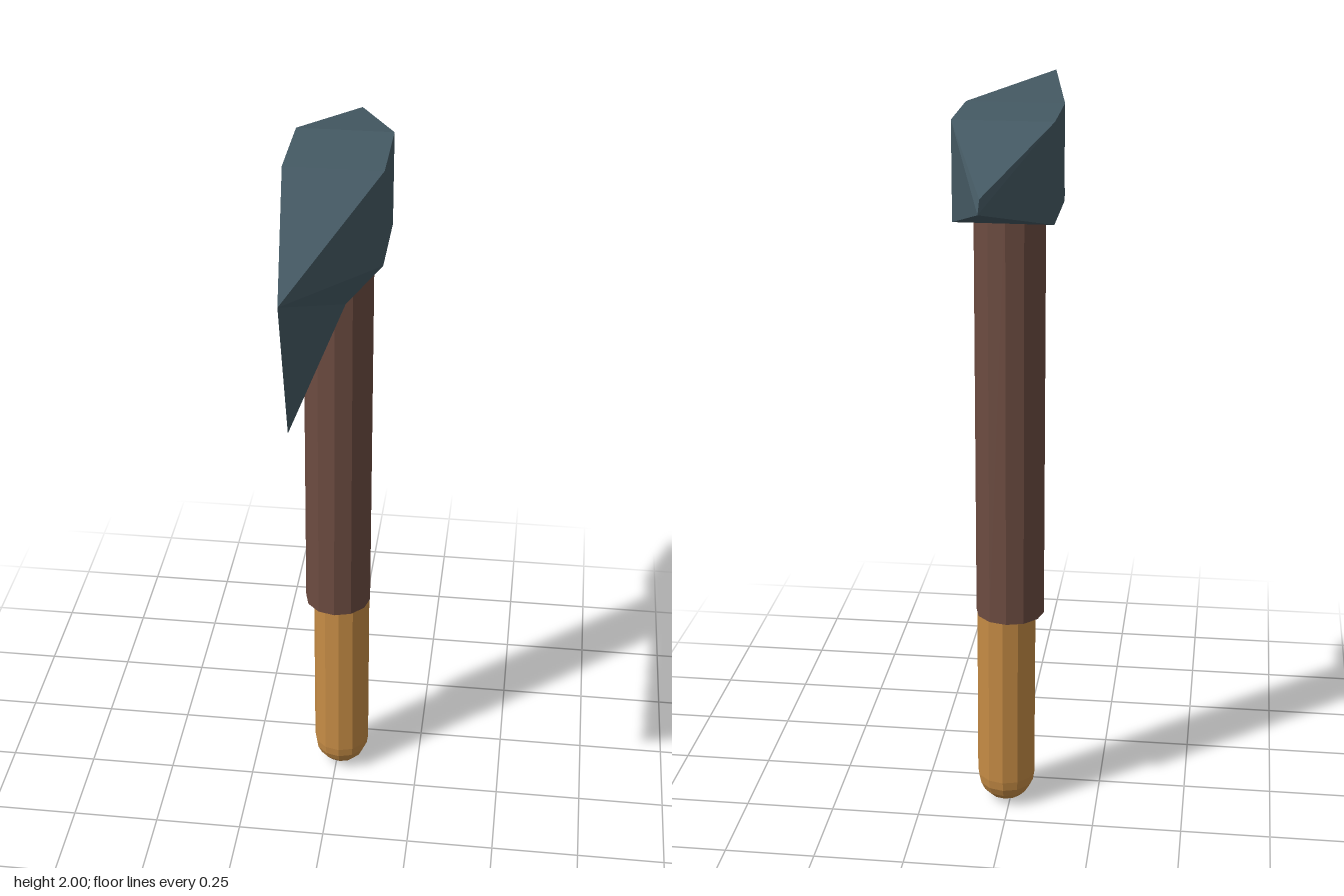
import * as THREE from 'three';

const paint = (color) => {
  const m = new THREE.MeshStandardMaterial({ flatShading: true });
  m.color.set(color);
  return m;
};

// Faceted solid from corner points and polygons (fan triangulated)
function facetedSolid(corners, faces) {
  const pos = [];
  for (const f of faces)
    for (let i = 1; i < f.length - 1; i++)
      for (const k of [f[0], f[i], f[i + 1]]) pos.push(...corners[k]);
  const g = new THREE.BufferGeometry();
  g.setAttribute('position', new THREE.Float32BufferAttribute(pos, 3));
  g.computeVertexNormals();
  return g;
}

export function createModel() {
  const model = new THREE.Group();
  const add = (name, geometry, material, x, y, z, parent = model) => {
    const mesh = new THREE.Mesh(geometry, material);
    mesh.name = name;
    mesh.position.set(x, y, z);
    parent.add(mesh);
    return mesh;
  };

  // Head: central block, drooping blade in front, spike behind
  const corners = [
    [0.13, 2, 0], [-0.13, 2, 0], [0.13, 2, -0.26], [-0.13, 2, -0.26],             // block top
    [0.13, 1.74, 0], [-0.13, 1.74, 0], [0.13, 1.74, -0.26], [-0.13, 1.74, -0.26], // block bottom
    [-0.035, 1.97, 0.72], [0.055, 1.72, 0.19], [-0.115, 1.725, 0.18], [-0.04, 1.555, 0.56], // blade
    [0, 1.9, -0.69], [0, 1.87, -0.72],                                            // spike
  ];
  const faces = [
    [1, 0, 2, 3], [1, 8, 0], [2, 12, 3],                               // top
    [0, 4, 6, 2], [8, 4, 0], [8, 9, 4], [8, 11, 9], [2, 6, 13, 12],    // left side
    [1, 3, 7, 5], [8, 1, 5], [8, 5, 10], [8, 10, 11], [3, 12, 13, 7],  // right side
    [7, 6, 4, 5], [4, 9, 10, 5], [9, 11, 10], [7, 13, 6],              // underside
  ];
  add('head', facetedSolid(corners, faces), paint(0x455a64), 0, 0, 0);

  // Shaft
  add('shaft', new THREE.CylinderGeometry(0.095, 0.095, 1.2, 12), paint(0x6d4c41), 0, 1.2, -0.122);

  // Grip: slightly tilted rod with a rounded end
  const gold = paint(0xc68c45);
  const grip = new THREE.Group();
  grip.name = 'grip';
  grip.position.set(0.013, 0.088, -0.113);
  grip.rotation.set(-0.013, 0, 0.004);
  model.add(grip);
  add('gripRod', new THREE.CylinderGeometry(0.082, 0.082, 0.56, 12), gold, 0, 0.28, 0, grip);
  add('gripEnd', new THREE.SphereGeometry(0.082, 12, 5, 0, Math.PI * 2, Math.PI / 2, Math.PI / 2), gold, 0, 0, 0, grip)
    .scale.y = 1.06;

  return model;
}
